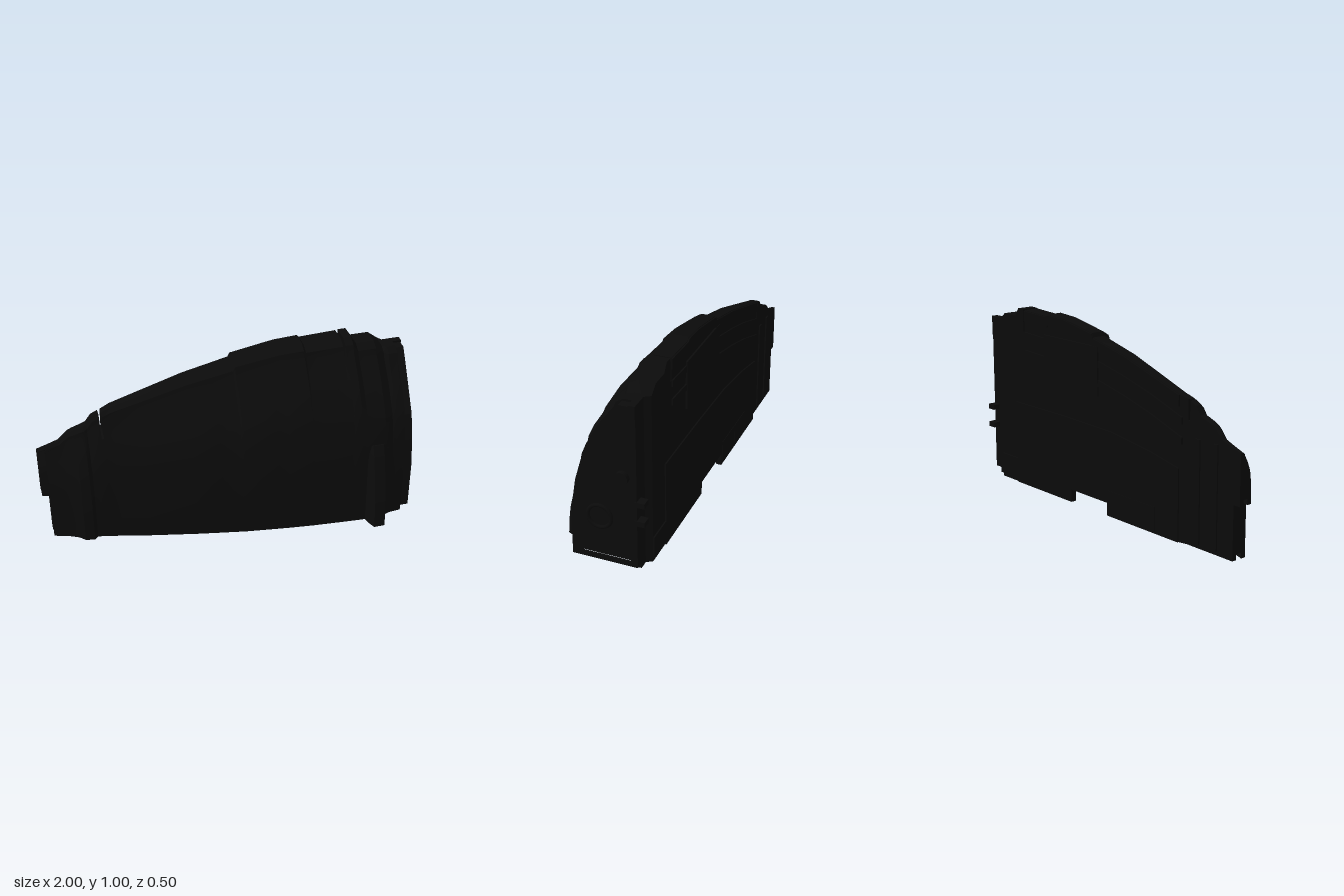
import * as THREE from 'three';
import { toCreasedNormals } from 'three/addons/utils/BufferGeometryUtils.js';
import { ConvexGeometry } from 'three/addons/geometries/ConvexGeometry.js';

const black = new THREE.MeshStandardMaterial({ color: 0x0b0b0b });
black.name = 'black';

// Front curve, bottom to top: [share of height, share of depth]
const CURVE = [[0, 1], [0.12, 0.995], [0.25, 0.985], [0.37, 0.965], [0.48, 0.93], [0.63, 0.855],
  [0.7, 0.78], [0.83, 0.585], [0.945, 0.36], [0.975, 0.33], [1, 0.22]];
const LIP = 0.025;

// Stations along x: [x, top height, front depth]
const STATIONS = [
  [-1, 0.54, -0.15], [-0.96, 0.553, -0.14], [-0.959, 0.553, -0.14], [-0.88, 0.58, -0.115],
  [-0.83, 0.63, -0.09], [-0.8, 0.643, -0.06], [-0.75, 0.66, -0.05], [-0.73, 0.668, -0.07],
  [-0.7, 0.71, -0.067], [-0.662, 0.728, -0.056], [-0.661, 0.728, -0.056], [-0.65, 0.733, -0.054],
  [-0.649, 0.733, -0.054], [-0.6, 0.75, -0.043], [-0.45, 0.797, -0.005], [-0.2, 0.875, 0.05],
  [-0.061, 0.907, 0.077], [-0.06, 0.907, 0.077], [0.05, 0.933, 0.098], [0.06, 0.955, 0.1],
  [0.24, 0.987, 0.125], [0.241, 0.987, 0.125], [0.3, 0.997, 0.133], [0.43, 1.004, 0.148],
  [0.44, 0.992, 0.149], [0.644, 1, 0.166], [0.645, 1, 0.166], [0.656, 1, 0.167],
  [0.657, 1.004, 0.167], [0.7, 1.004, 0.17], [0.73, 0.96, 0.172], [0.83, 0.96, 0.172],
  [0.88, 0.92, 0.15], [0.9, 0.92, 0.148], [0.95, 0.92, 0.143],
];

// Narrow slots cut down from the top edge: [start x, end x, floor height]
const SLOTS = [[-0.6615, -0.6495, 0.63], [0.6445, 0.6565, 0.88]];

function backAt(x) {
  if (x < -0.61) return -0.225;
  return x > 0.89 ? -0.205 : -0.236;
}

// The underside hollow deepens towards the deep end
function recessAt(x) {
  const { smoothstep } = THREE.MathUtils;
  const base = x > -0.0605 && x < 0.2405 ? 0.075 : 0.03;
  return Math.max(base, 0.14 * smoothstep(x, 0.05, 0.4) * (1 - smoothstep(x, 0.7, 0.85)));
}

// Closed outline of one station as (-z, y), anticlockwise seen from +x
function section([x, top, front]) {
  const back = backAt(x);
  const bottom = x < -0.9595 ? 0.28 : 0;
  const roof = bottom + recessAt(x);
  const lipEnd = x > -0.0605 && x < 0.2405 ? 0.07 : bottom;
  const slot = SLOTS.find(([x0, x1]) => x > x0 && x < x1);
  const cut = slot ? slot[2] : top;
  const pts = [[front, bottom], [front - LIP, bottom], [front - LIP, roof],
    [back + LIP, roof], [back + LIP, lipEnd], [back, lipEnd], [back, cut]];
  for (const [h, d] of CURVE.slice(1).reverse()) {
    pts.push([back + (front - back) * d, Math.min(bottom + (top - bottom) * h, cut)]);
  }
  return pts.map(([z, y]) => new THREE.Vector2(-z, y));
}

function loft(stations) {
  const rings = stations.map(section);
  const n = rings[0].length;
  const pos = [];
  const index = [];
  rings.forEach((ring, i) => ring.forEach((p) => pos.push(stations[i][0], p.y, -p.x)));
  for (let i = 0; i < rings.length - 1; i++) {
    for (let j = 0; j < n; j++) {
      const a = i * n + j;
      const b = i * n + (j + 1) % n;
      index.push(a, b, a + n, b, b + n, a + n);
    }
  }
  const last = (rings.length - 1) * n;
  for (const [a, b, c] of THREE.ShapeUtils.triangulateShape(rings[0], [])) index.push(a, c, b);
  for (const [a, b, c] of THREE.ShapeUtils.triangulateShape(rings[rings.length - 1], [])) {
    index.push(last + a, last + b, last + c);
  }
  const geo = new THREE.BufferGeometry();
  geo.setAttribute('position', new THREE.Float32BufferAttribute(pos, 3));
  geo.setIndex(index);
  return toCreasedNormals(geo, 0.45);
}

const toShape = (pts) => new THREE.Shape(pts.map(([x, y]) => new THREE.Vector2(x, y)));

export function createModel() {
  const group = new THREE.Group();
  const add = (name, geo) => {
    const mesh = new THREE.Mesh(geo, black);
    mesh.name = name;
    group.add(mesh);
    return mesh;
  };
  const box = (name, x0, x1, y0, y1, z0, z1) => {
    add(name, new THREE.BoxGeometry(x1 - x0, y1 - y0, z1 - z0))
      .position.set((x0 + x1) / 2, (y0 + y1) / 2, (z0 + z1) / 2);
  };
  // Slab with an (x, y) outline on the back
  const backSlab = (name, pts, z0, z1) => {
    const geo = new THREE.ExtrudeGeometry(toShape(pts), { depth: z1 - z0, bevelEnabled: false });
    add(name, geo).position.z = z0;
  };

  add('shell', loft(STATIONS));

  // Tapered upright rib near the deep end
  const ribEdge = [[0.25, 0], [0.245, 0.08], [0.235, 0.16], [0.2, 0.31], [0.17, 0.42], [0.145, 0.48]];
  const ribPoints = [];
  for (const side of [-1, 1]) {
    for (const [z, y] of ribEdge) {
      ribPoints.push(new THREE.Vector3(0.787 + side * 0.03, y, z));
      ribPoints.push(new THREE.Vector3(0.787 + side * 0.045, y, z - 0.035));
    }
    for (const y of [0, 0.48]) ribPoints.push(new THREE.Vector3(0.787 + side * 0.075, y, 0.11));
  }
  add('rib', new ConvexGeometry(ribPoints));

  // Raised frame around the deep end
  const frame = toShape([[0.14, 0.03], [0.135, 0.3], [0.11, 0.46], [0.07, 0.6], [-0.02, 0.75],
    [-0.12, 0.91], [-0.205, 0.91], [-0.205, 0.03]].map(([z, y]) => [-z, y]));
  frame.holes.push(toShape([[0.095, 0.08], [0.09, 0.25], [0.07, 0.43], [0.03, 0.58], [-0.05, 0.72],
    [-0.13, 0.855], [-0.165, 0.87], [-0.188, 0.83], [-0.188, 0.09], [-0.17, 0.065], [0.08, 0.065]]
    .map(([z, y]) => [-z, y])));
  const frameGeo = new THREE.ExtrudeGeometry(frame, { depth: 0.05, bevelEnabled: false });
  frameGeo.rotateY(Math.PI / 2);
  add('endFrame', frameGeo).position.x = 0.945;

  // Ring, boss and tabs on the deep end
  const ring = add('endRing', new THREE.TorusGeometry(0.062, 0.01, 8, 32));
  ring.rotation.y = Math.PI / 2;
  ring.position.set(0.953, 0.25, 0.01);
  const boss = add('endBoss', new THREE.CylinderGeometry(0.035, 0.035, 0.03, 24));
  boss.rotation.z = Math.PI / 2;
  boss.position.set(0.96, 0.5, -0.115);
  for (const y of [0.29, 0.395]) box('endPeg', 0.95, 1, y - 0.014, y + 0.014, -0.245, -0.19);
  box('endTopTab', 0.92, 1, 0.81, 0.92, -0.205, -0.17);

  // Panels layered on the back
  backSlab('backPanel', [[-0.6, 0], [-0.06, 0], [-0.06, 0.07], [0.24, 0.07], [0.24, 0], [0.73, 0],
    [0.73, 0.47], [0.3, 0.47], [-0.1, 0.46], [-0.4, 0.42], [-0.6, 0.38]], -0.243, -0.225);
  const arch = [[-0.62, 0.64], [-0.4, 0.715], [-0.2, 0.77], [0, 0.815], [0.2, 0.85], [0.45, 0.87], [0.64, 0.88]];
  for (const drop of [0, 0.1]) {
    const upper = arch.map(([x, y]) => [x, y - drop]).reverse();
    const lower = arch.map(([x, y]) => [x, y - drop - 0.035]);
    backSlab('backRidge', [...lower, ...upper], -0.243, -0.22);
  }
  const rim = STATIONS.filter(([x]) => x > -0.61 && x < 0.6445);
  backSlab('backRim', [...rim.map(([x, y]) => [x, y - 0.06]), ...rim.map(([x, y]) => [x, y - 0.004]).reverse()], -0.243, -0.225);
  box('backTopBox', 0.01, 0.46, 0.63, 0.89, -0.245, -0.225);
  box('backEndFoot', 0.72, 0.88, 0.02, 0.14, -0.243, -0.225);
  for (const [x0, x1] of [[-0.26, -0.07], [-0.43, -0.275]]) box('backLowBox', x0, x1, 0.01, 0.14, -0.245, -0.225);
  for (const x of [-0.72, -0.84]) box('backThinStrip', x - 0.015, x + 0.015, 0.02, 0.55, -0.232, -0.215);

  return group;
}
